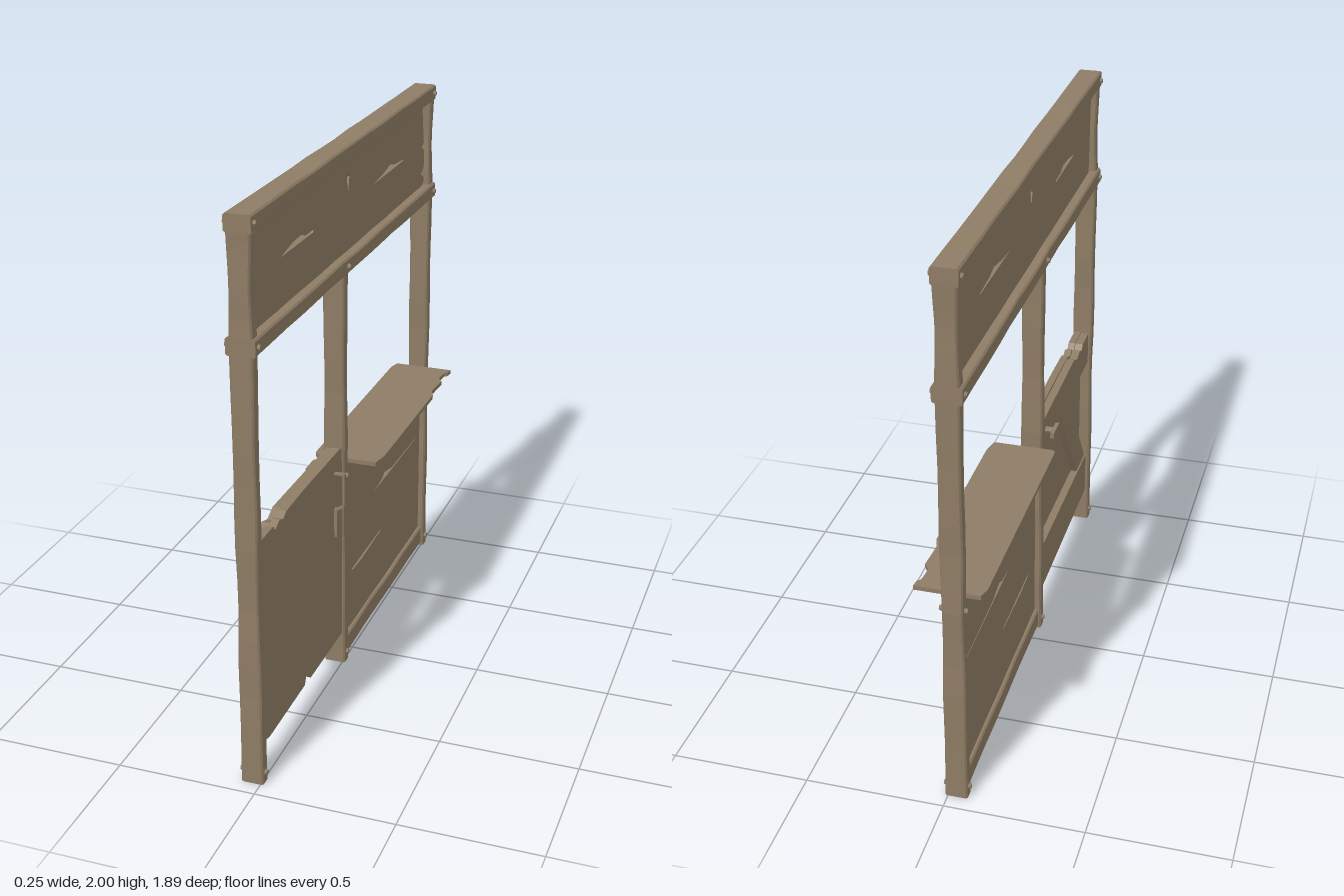
import * as THREE from 'three';

const wood = new THREE.MeshStandardMaterial({ color: 0x8e7c65, flatShading: true });
wood.name = 'weathered wood';

const MID = -0.03; // x of the wall's centre plane

export function createModel() {
  const root = new THREE.Group();

  function add(name, geometry, parent = root) {
    const mesh = new THREE.Mesh(geometry, wood);
    mesh.name = name;
    parent.add(mesh);
    return mesh;
  }

  // Plank cut from an outline of [z, y] points, filling x0..x1
  const toShape = (pts, Type = THREE.Shape) => new Type(pts.map(([z, y]) => new THREE.Vector2(-z, y)));
  function board(name, pts, x0, x1, holes = [], parent = root) {
    const shape = toShape(pts);
    shape.holes = holes.map((h) => toShape(h, THREE.Path));
    const g = new THREE.ExtrudeGeometry(shape, { depth: x1 - x0, bevelEnabled: false });
    g.rotateY(Math.PI / 2).translate(x0, 0, 0);
    return add(name, g, parent);
  }

  // Chamfered, slightly worn beam: w along x, t across, standing on local y = 0
  function beamGeometry(w, t, len, seed, wear = 0.0025) {
    const c = 0.006, a = w / 2, b = t / 2;
    const s = new THREE.Shape([
      [a - c, -b], [a, -b + c], [a, b - c], [a - c, b],
      [-a + c, b], [-a, b - c], [-a, -b + c], [-a + c, -b],
    ].map(([x, y]) => new THREE.Vector2(x, y)));
    const g = new THREE.ExtrudeGeometry(s, { depth: len, steps: 14, bevelEnabled: false });
    const p = g.attributes.position;
    for (let i = 0; i < p.count; i++) {
      const l = p.getZ(i), fade = Math.sin((Math.PI * l) / len);
      const k = 1 - wear * fade * (1 + Math.sin(l * 17 + seed * 2.3)) / b;
      p.setXY(i, p.getX(i) * (1 - wear * fade * (1 + Math.sin(l * 11 + seed)) / a), p.getY(i) * k);
    }
    g.rotateX(-Math.PI / 2);
    g.computeVertexNormals();
    return g;
  }
  function post(name, z, y0, y1, w = 0.08) {
    add(name, beamGeometry(w, 0.046, y1 - y0, z * 7)).position.set(MID, y0, z);
  }
  function rail(name, z0, z1, y0, y1, w) {
    const m = add(name, beamGeometry(w, y1 - y0, z1 - z0, y0 * 5, 0.0015));
    m.rotation.x = Math.PI / 2;
    m.position.set(MID, (y0 + y1) / 2, z0);
  }

  // Frame
  for (const z of [0.922, -0.922]) {
    post('outerPost', z, 0, 1.55);
    post('upperPost', z, 1.61, 1.94);
  }
  post('middlePost', 0.094, 0, 1.55);
  rail('topRail', -0.945, 0.945, 1.94, 2.0, 0.09);
  rail('signRail', -0.945, 0.945, 1.55, 1.61, 0.1);

  // Sign panel with split edges and cracks
  board('signPanel', [
    [0.9, 1.945], [0.9, 1.9], [0.885, 1.605], [-0.88, 1.605], [-0.9, 1.625], [-0.9, 1.64],
    [-0.86, 1.66], [-0.9, 1.68], [-0.9, 1.75], [-0.865, 1.765], [-0.895, 1.78], [-0.865, 1.945],
  ], MID - 0.015, MID + 0.015, [
    [[0.64, 1.775], [0.54, 1.792], [0.46, 1.797], [0.42, 1.783], [0.345, 1.78], [0.35, 1.772]],
    [[-0.27, 1.772], [-0.38, 1.782], [-0.47, 1.797], [-0.52, 1.785], [-0.63, 1.777], [-0.63, 1.772]],
    [[0.015, 1.865], [0.004, 1.885], [-0.012, 1.87], [0, 1.82]],
  ]);

  // Counter wall with cracks, its rails and the worktop
  board('counterPanel', [[0.072, 0.03], [-0.9, 0.03], [-0.9, 0.8], [0.072, 0.8]], MID - 0.015, MID + 0.015, [
    [[-0.3, 0.53], [-0.4, 0.54], [-0.43, 0.556], [-0.52, 0.536], [-0.84, 0.529], [-0.84, 0.525]],
    [[-0.03, 0.323], [-0.39, 0.323], [-0.38, 0.317], [-0.14, 0.308], [-0.05, 0.313]],
  ]);
  rail('counterBottomRail', -0.9, 0.072, 0.01, 0.087, 0.06);
  rail('counterTopRail', -0.9, 0.072, 0.735, 0.815, 0.06);
  const top = new THREE.Shape([
    [-0.115, 0.06], [-0.127, 0.045], [-0.127, -0.86], [-0.115, -0.9], [0.115, -0.9], [0.112, -0.87],
    [0.1, -0.86], [0.095, -0.8], [0.115, -0.77], [0.108, -0.66], [0.123, -0.62], [0.123, 0], [0.11, 0.06],
  ].map(([x, z]) => new THREE.Vector2(x, z)));
  const topGeometry = new THREE.ExtrudeGeometry(top, { depth: 0.016, bevelEnabled: false });
  add('counterTop', topGeometry.rotateX(Math.PI / 2).translate(0, 0.832, 0));

  // Door: chipped boards, with rails and a diagonal brace on the inside
  const door = new THREE.Group();
  door.name = 'door';
  root.add(door);
  board('doorBoards', [
    [0.9, 0.905], [0.9, 0.15], [0.86, 0.138], [0.52, 0.14], [0.505, 0.17], [0.47, 0.15], [0.46, 0.136],
    [0.122, 0.135], [0.122, 0.895], [0.14, 0.905], [0.5, 0.91], [0.67, 0.906], [0.7, 0.89],
    [0.73, 0.903], [0.77, 0.885], [0.79, 0.905],
  ], -0.025, 0.002, [], door);
  board('doorTopRail', [
    [0.9, 0.9], [0.9, 0.77], [0.122, 0.77], [0.122, 0.895], [0.65, 0.903], [0.7, 0.88], [0.75, 0.895], [0.78, 0.88], [0.8, 0.9],
  ], -0.055, -0.025, [], door);
  board('doorBottomRail', [[0.9, 0.32], [0.9, 0.145], [0.122, 0.138], [0.122, 0.335]], -0.055, -0.025, [], door);
  board('doorBrace', [[0.44, 0.77], [0.58, 0.77], [0.89, 0.325], [0.75, 0.325]], -0.05, -0.025, [], door);

  // Strap handle: an outline in x-y bent out from the door
  const strap = new THREE.Shape([
    [0, 0.836], [0.042, 0.836], [0.042, 0.715], [0.032, 0.7], [0.013, 0.688], [0.013, 0.582], [0, 0.582],
    [0, 0.694], [0.008, 0.694], [0.028, 0.706], [0.036, 0.718], [0.036, 0.829], [0, 0.829],
  ].map(([x, y]) => new THREE.Vector2(x, y)));
  const strapGeometry = new THREE.ExtrudeGeometry(strap, { depth: 0.016, bevelEnabled: false });
  add('doorHandle', strapGeometry.translate(0, 0, 0.189), door);

  // Turning latch on the inside
  const latch = add('latch', new THREE.BoxGeometry(0.014, 0.022, 0.085), door);
  latch.position.set(-0.09, 0.84, 0.19);
  const pin = add('latchPin', new THREE.CylinderGeometry(0.012, 0.012, 0.045, 8), door);
  pin.rotation.z = Math.PI / 2;
  pin.position.set(-0.073, 0.84, 0.19);

  // Bolts through the posts and rails on both faces: [z, y, half thickness there]
  const boltGeometry = new THREE.CylinderGeometry(0.008, 0.012, 0.012, 8).rotateZ(-Math.PI / 2);
  for (const [z, y, half] of [
    [0.922, 1.97, 0.045], [-0.922, 1.97, 0.045], [0.922, 1.58, 0.05], [0.094, 1.58, 0.05],
    [-0.922, 1.58, 0.05], [0.094, 0.78, 0.04], [-0.922, 0.78, 0.04],
    [0.922, 0.04, 0.04], [0.094, 0.04, 0.04], [-0.922, 0.04, 0.04],
  ]) {
    for (const side of [1, -1]) {
      const bolt = add('bolt', boltGeometry);
      bolt.position.set(MID + side * (half + 0.003), y, z);
      if (side < 0) bolt.rotation.y = Math.PI;
    }
  }
  return root;
}
